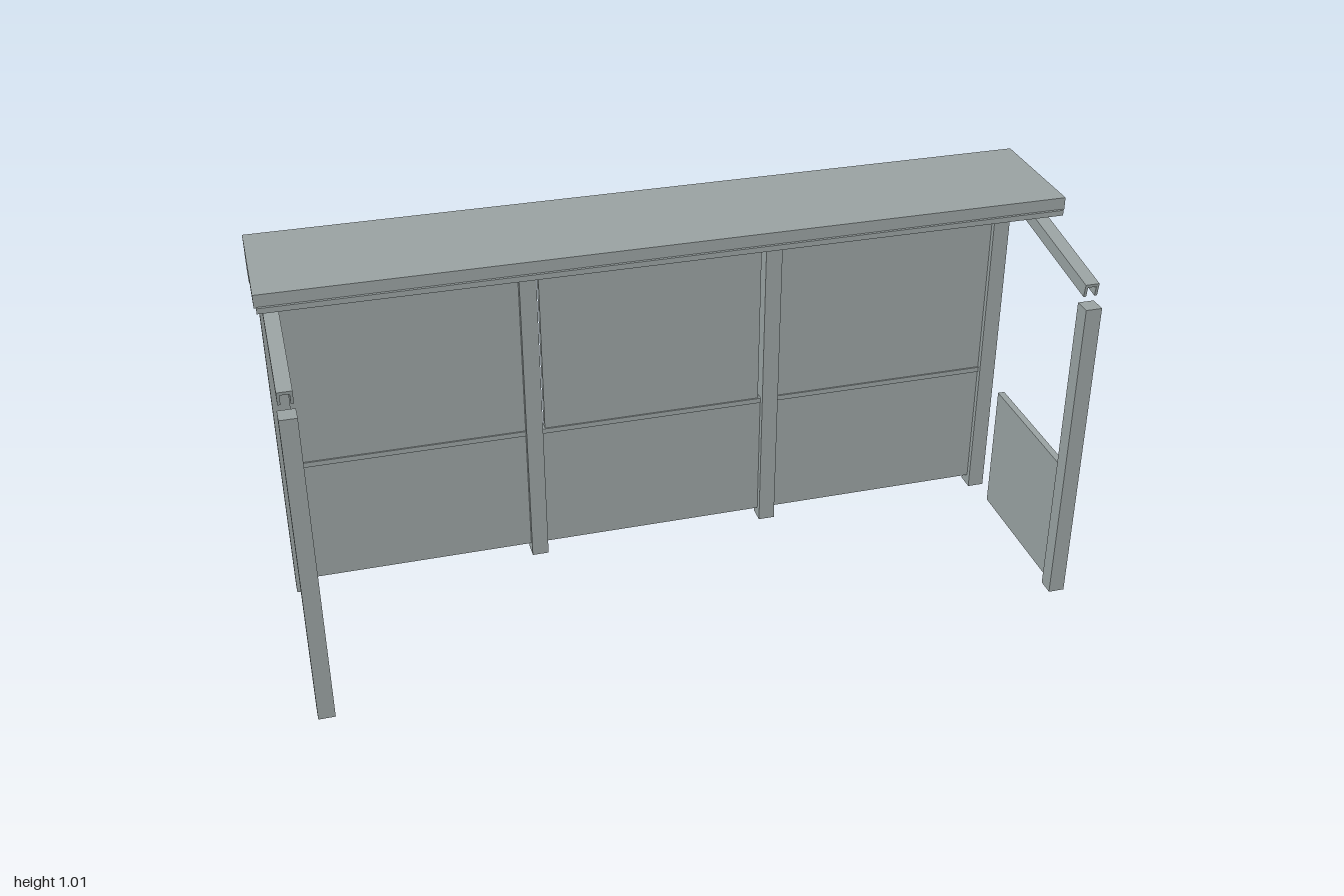
import * as THREE from 'three';

export function createModel() {
  const model = new THREE.Group();
  model.name = 'busShelter';
  const steel = new THREE.MeshStandardMaterial({ color: 0x99a2a2 });
  steel.name = 'grey steel';

  // Box given by its limits on each axis
  const box = (name, [x0, x1], [y0, y1], [z0, z1]) => {
    const mesh = new THREE.Mesh(new THREE.BoxGeometry(x1 - x0, y1 - y0, z1 - z0), steel);
    mesh.position.set((x0 + x1) / 2, (y0 + y1) / 2, (z0 + z1) / 2);
    mesh.name = name;
    model.add(mesh);
    return mesh;
  };
  const around = (c, width) => [c - width / 2, c + width / 2];

  // Side profile of [z, y] points extruded across x
  const profile = (name, points, x, width) => {
    const shape = new THREE.Shape(points.map(([z, y]) => new THREE.Vector2(-z, y)));
    const geometry = new THREE.ExtrudeGeometry(shape, { depth: width, bevelEnabled: false });
    geometry.translate(0, 0, -width / 2).rotateY(Math.PI / 2);
    const mesh = new THREE.Mesh(geometry, steel);
    mesh.position.x = x;
    mesh.name = name;
    model.add(mesh);
  };

  // Roof: flat slab with a deep rear beam, and a small front gutter
  profile('roof', [
    [0.03, 1.015], [0.03, 0.982], [-0.205, 0.982],
    [-0.205, 0.932], [-0.3, 0.932], [-0.3, 1.015],
  ], 0, 2);
  box('frontGutter', [-0.995, 0.995], [0.97, 0.984], [0.025, 0.037]);

  // Rear posts with the brackets that carry the roof
  for (const x of [-0.963, -0.325, 0.325, 0.963]) {
    box('rearPost', around(x, 0.044), [0, 0.893], [-0.277, -0.229]);
    profile('roofBracket', [
      [-0.153, 0.88], [-0.25, 0.88], [-0.25, 0.934], [-0.205, 0.938],
      [-0.205, 0.976], [-0.153, 0.934],
    ], x, 0.036);
  }

  // Back wall: lower and upper panel with a rail in each bay
  for (const [x, lower, upper] of [[-0.644, 0.594, 0.594], [0, 0.604, 0.59], [0.644, 0.594, 0.594]]) {
    box('lowerPanel', around(x, lower), [0.03, 0.376], [-0.264, -0.244]);
    box('upperPanel', around(x, upper), [0.39, 0.85], [-0.264, -0.244]);
    box('middleRail', around(x, lower), [0.376, 0.39], [-0.268, -0.24]);
  }

  // Ends: front post, low side panel and sloping channel arm
  for (const side of [-1, 1]) {
    const x = side * 0.963;
    box('frontPost', around(x, 0.042), [0, 0.843], [0.26, 0.304]);
    box('sidePanel', around(x, 0.018), [0.015, 0.367], [-0.13, 0.26]);
    profile('armTop', [
      [0.282, 0.9], [0.281, 0.892], [-0.205, 0.969], [-0.205, 0.977],
    ], x, 0.036);
    for (const edge of [-1, 1]) {
      profile('armFlange', [
        [0.281, 0.892], [0.277, 0.866], [-0.153, 0.934], [-0.205, 0.942], [-0.205, 0.969],
      ], x + edge * 0.0145, 0.007);
    }
  }

  return model;
}
